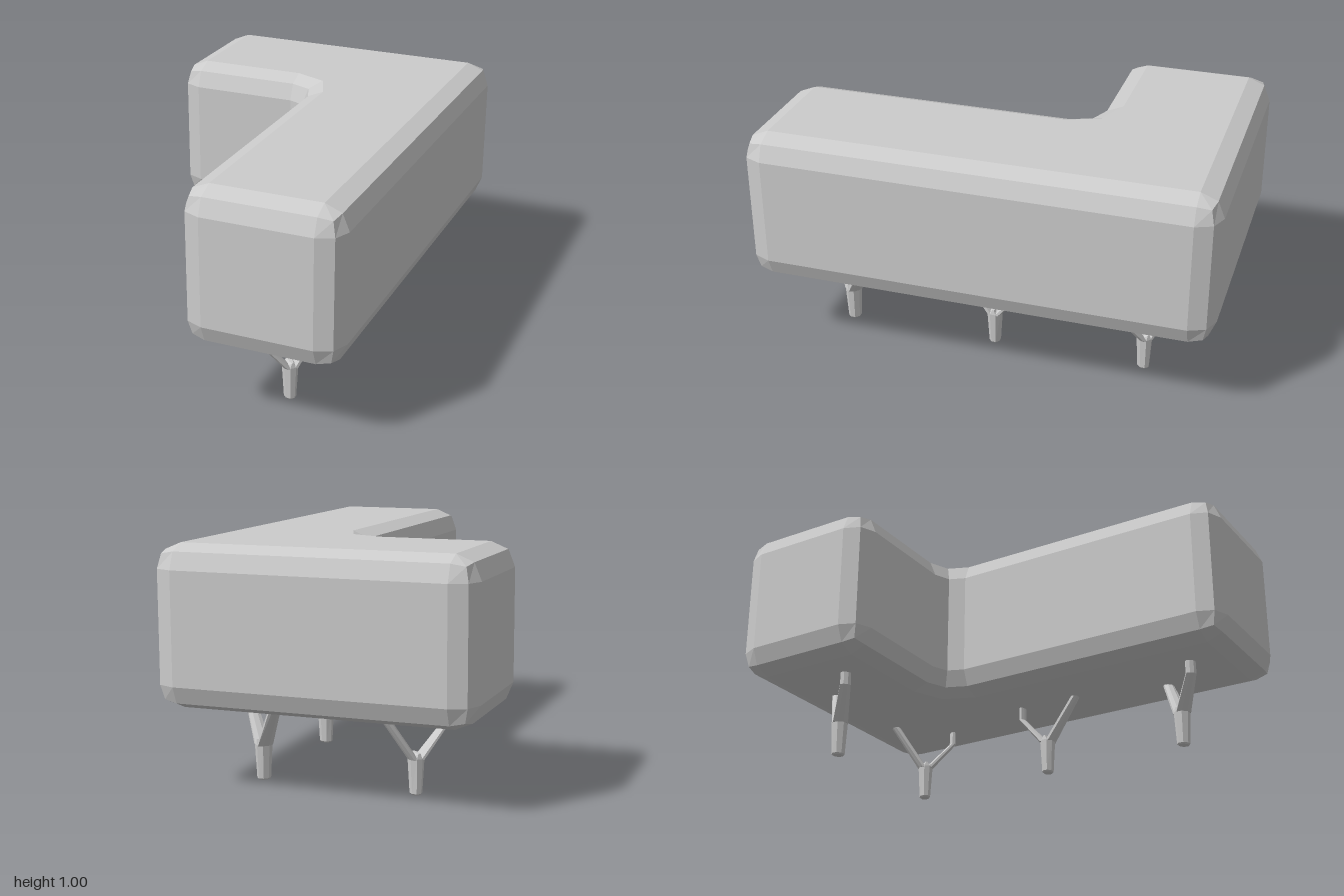
import * as THREE from 'three';

const material = new THREE.MeshStandardMaterial({ color: 0xcccccc, flatShading: true });

// Skin a stack of rings (bottom to top, counter-clockwise from above), capped at both ends
function loft(rings) {
  const positions = [];
  const n = rings[0].length;
  const tri = (a, b, c) => {
    const area = b.clone().sub(a).cross(c.clone().sub(a)).length();
    if (area > 1e-7) for (const p of [a, b, c]) positions.push(p.x, p.y, p.z);
  };
  for (let r = 0; r < rings.length - 1; r++) {
    const lo = rings[r], hi = rings[r + 1];
    for (let i = 0; i < n; i++) {
      const j = (i + 1) % n;
      tri(lo[i], lo[j], hi[j]);
      tri(lo[i], hi[j], hi[i]);
    }
  }
  const bottom = rings[0], top = rings[rings.length - 1];
  for (let i = 1; i < n - 1; i++) {
    tri(top[0], top[i], top[i + 1]);
    tri(bottom[0], bottom[i + 1], bottom[i]);
  }
  const geometry = new THREE.BufferGeometry();
  geometry.setAttribute('position', new THREE.Float32BufferAttribute(positions, 3));
  geometry.computeVertexNormals();
  return geometry;
}

// L-shaped block with two-step rounded edges
function createSeat() {
  const R = 0.1, yLow = 0.436, yHigh = 0.9;
  // Arc centre x, z, then first and last direction of the arc
  const corners = [
    [0.567, -0.9, [1, 0], [0, -1]],
    [-0.567, -0.9, [0, -1], [-1, 0]],
    [-0.567, -0.44, [-1, 0], [0, 1]],
    [-0.1, -0.24, [0, -1], [1, 0], true], // inner corner
    [0.1, 0.9, [-1, 0], [0, 1]],
    [0.567, 0.9, [0, 1], [1, 0]],
  ];
  const ring = (y, side, up) => {
    const points = [];
    for (const [cx, cz, d0, d1, concave] of corners) {
      for (const [dx, dz] of [d0, [d0[0] + d1[0], d0[1] + d1[1]], d1]) {
        const offset = new THREE.Vector3(dx * side, up, dz * side).setLength(R);
        if (concave) {
          // Inner arc grows as the edge rolls inward
          const inset = 1 - (up === 0 ? 1 : side ? Math.SQRT1_2 : 0);
          const reach = R * (1 + inset) / Math.hypot(dx, dz);
          offset.set(dx * reach, up * R * (side ? Math.SQRT1_2 : 1), dz * reach);
        } else if (side && up) {
          offset.y = up * R * (dx && dz ? 0.6 : Math.SQRT1_2);
        }
        points.push(new THREE.Vector3(cx + offset.x, y + offset.y, cz + offset.z));
      }
    }
    return points;
  };
  return loft([
    ring(yLow, 0, -1), ring(yLow, 1, -1), ring(yLow, 1, 0),
    ring(yHigh, 1, 0), ring(yHigh, 1, 1), ring(yHigh, 0, 1),
  ]);
}

// Horizontal octagonal section: centre x, height, half width in x, half depth in z
function section([x, y, hx, hz]) {
  const k = 1 / Math.cos(Math.PI / 8);
  return Array.from({ length: 8 }, (_, i) => {
    const a = (i + 0.5) * Math.PI / 4;
    return new THREE.Vector3(x + hx * k * Math.cos(a), y, -hz * k * Math.sin(a));
  });
}

// Y-shaped leg: the bent arm points to local +x, the straight arm to -x
const legParts = {
  legTrunk: [[0, 0, 0.018, 0.022], [0, 0.006, 0.023, 0.027], [0, 0.15, 0.031, 0.034], [0, 0.172, 0.008, 0.03]],
  bentArm: [[0.014, 0.146, 0.017, 0.033], [0.129, 0.278, 0.013, 0.023], [0.129, 0.36, 0.012, 0.022]],
  straightArm: [[-0.014, 0.146, 0.017, 0.033], [-0.162, 0.36, 0.018, 0.022]],
};

export function createModel() {
  const group = new THREE.Group();
  group.name = 'cornerBench';

  const addMesh = (parent, geometry, name) => {
    const mesh = new THREE.Mesh(geometry, material);
    mesh.name = name;
    parent.add(mesh);
  };
  addMesh(group, createSeat(), 'seat');

  const legGeometries = Object.entries(legParts).map(([name, rows]) => [name, loft(rows.map(section))]);

  // Leg position x, z and the direction of its bent arm
  const legs = [
    ['frontLeg', 0.333, 0.667, -1, 1],
    ['middleLeg', 0.333, 0, 0, -1],
    ['cornerLeg', 0.333, -0.667, 1, 1],
    ['sideLeg', -0.333, -0.667, -1, 1],
  ];
  for (const [name, x, z, dx, dz] of legs) {
    const leg = new THREE.Group();
    leg.name = name;
    leg.position.set(x, 0, z);
    leg.rotation.y = Math.atan2(-dz, dx);
    for (const [part, geometry] of legGeometries) addMesh(leg, geometry, part);
    group.add(leg);
  }
  return group;
}
